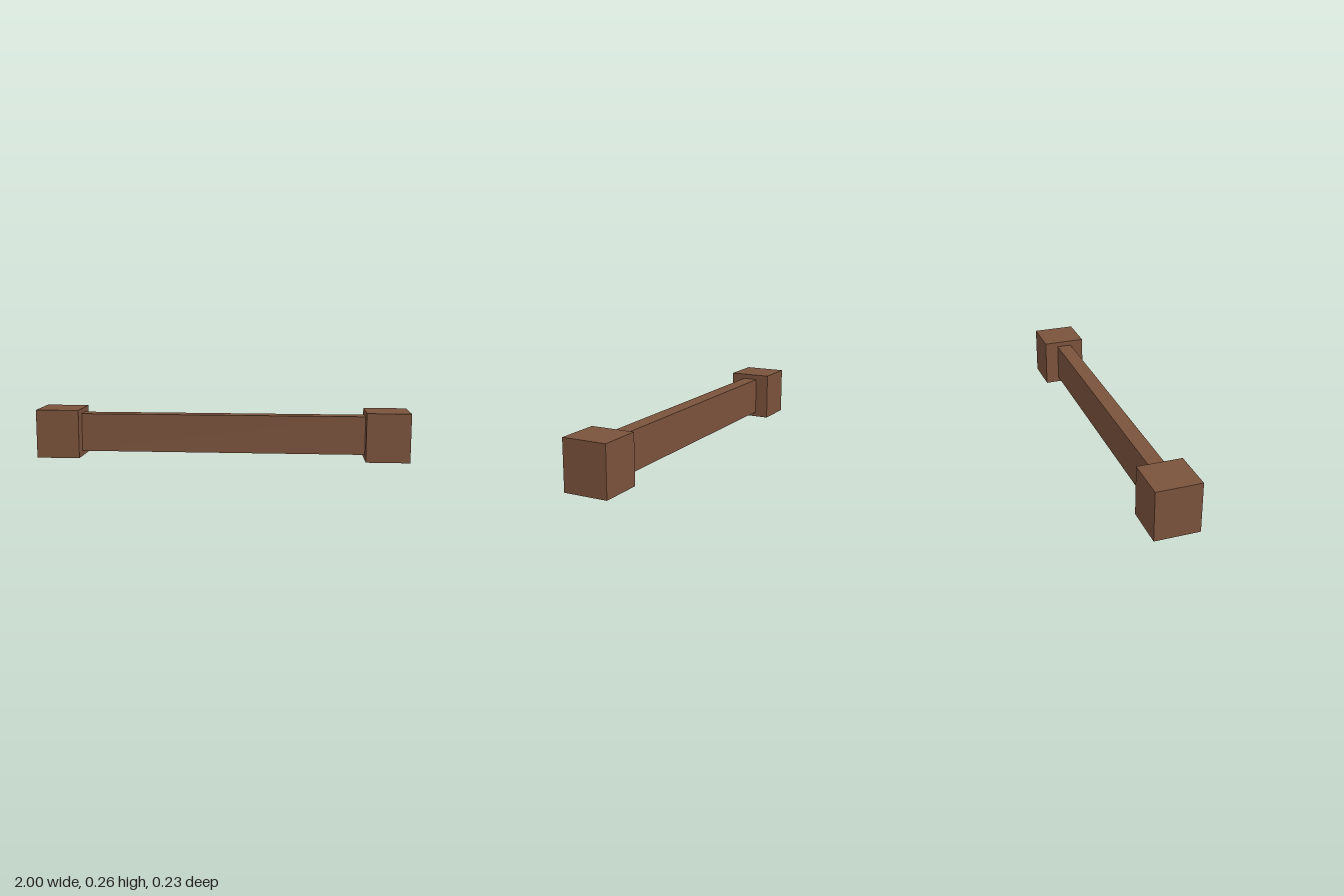
import * as THREE from 'three';

export function createModel() {
  const model = new THREE.Group();
  model.name = 'beamWithEndBlocks';

  const brownWood = new THREE.MeshStandardMaterial({ color: 0x7a523b });
  brownWood.name = 'brownWood';

  const addBox = (name, width, height, depth, x, y) => {
    const mesh = new THREE.Mesh(new THREE.BoxGeometry(width, height, depth), brownWood);
    mesh.name = name;
    mesh.position.set(x, y, 0);
    model.add(mesh);
  };

  const blockWidth = 0.232, blockHeight = 0.261, midHeight = blockHeight / 2;

  // Long plank spanning between the end blocks
  addBox('beam', 2 - 2 * blockWidth, 0.206, 0.082, 0, midHeight);

  // Matching block at each end
  for (const [name, side] of [['leftEndBlock', 1], ['rightEndBlock', -1]]) {
    addBox(name, blockWidth, blockHeight, 0.233, side * (1 - blockWidth / 2), midHeight);
  }

  return model;
}
